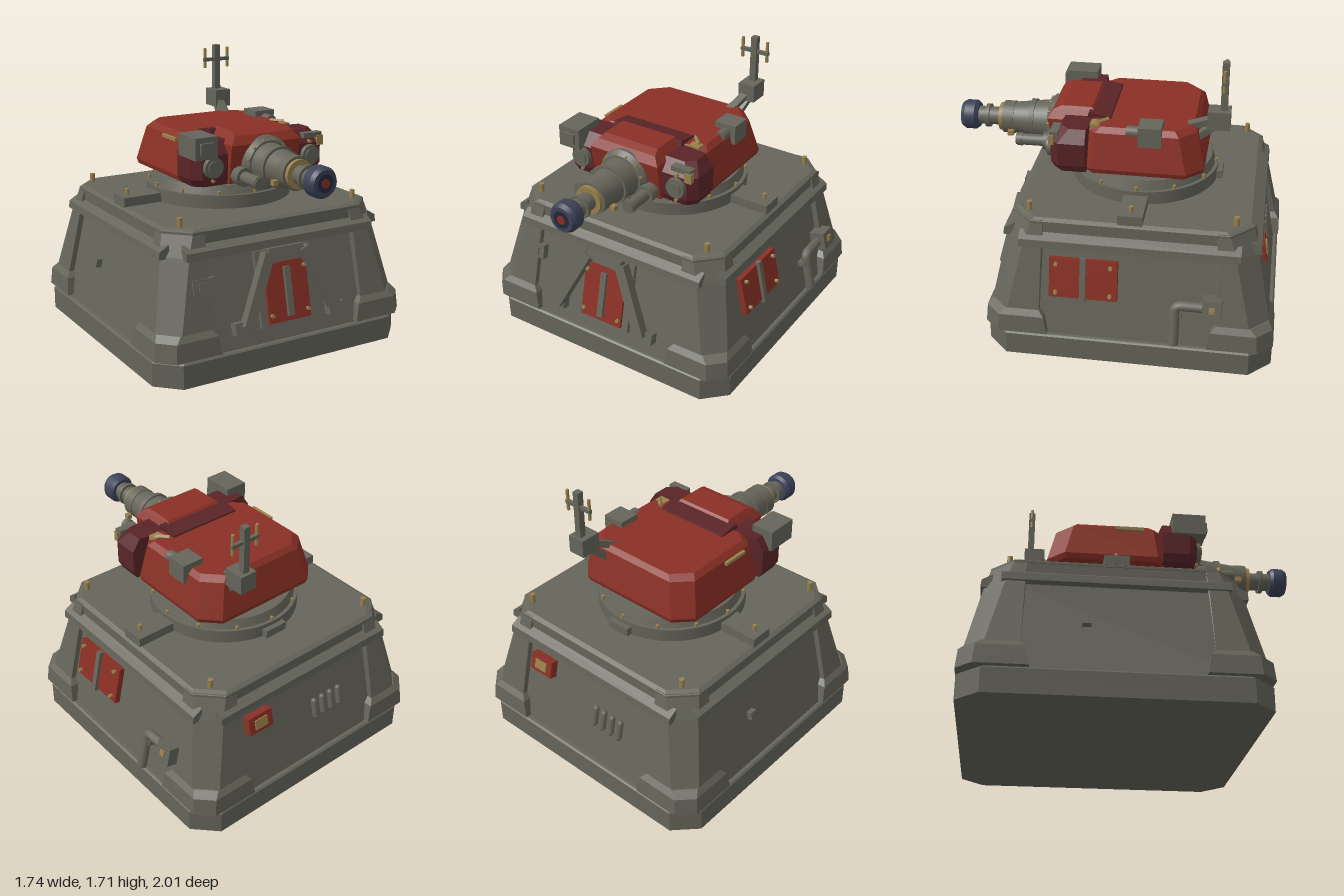
import * as THREE from 'three';
import { ConvexGeometry } from 'three/addons/geometries/ConvexGeometry.js';

const CZ = -0.15; // centre of the base along z
const AXIS = 1.15; // gun height
const V = (x, y, z) => new THREE.Vector3(x, y, z);
const paint = (name, color) => Object.assign(new THREE.MeshStandardMaterial({ color }), { name });

export function createModel() {
  const grey = paint('hull grey', 0x65655a), red = paint('panel red', 0x8a3025);
  const darkRed = paint('shadow red', 0x592427), gold = paint('brass', 0x98804c);
  const blue = paint('muzzle blue', 0x3c4258), dark = paint('bore dark', 0x26283a);
  const model = new THREE.Group();
  model.name = 'turret emplacement';

  const add = (name, geo, mat, x = 0, y = 0, z = 0, parent = model) => {
    const m = new THREE.Mesh(geo, mat);
    m.name = name;
    m.position.set(x, y, z);
    parent.add(m);
    return m;
  };
  const box = (name, mat, w, h, d, x, y, z, parent) => add(name, new THREE.BoxGeometry(w, h, d), mat, x, y, z, parent);
  const post = (name, mat, r, h, x, y, z, parent, r2 = r, seg = 12) =>
    add(name, new THREE.CylinderGeometry(r2, r, h, seg), mat, x, y, z, parent);
  // cylinder along z from z0 to z1
  const zCyl = (name, mat, r0, r1, z0, z1, x, y, parent, seg = 32) =>
    add(name, new THREE.CylinderGeometry(r1, r0, z1 - z0, seg).rotateX(Math.PI / 2), mat, x, y, (z0 + z1) / 2, parent);
  const bar = (name, mat, a, b, w, d, parent) => {
    const m = box(name, mat, w, a.distanceTo(b), d, 0, 0, 0, parent);
    m.position.copy(a).lerp(b, 0.5);
    m.quaternion.setFromUnitVectors(V(0, 1, 0), b.clone().sub(a).normalize());
    return m;
  };
  const hull = (name, mat, pts, parent) => add(name, new ConvexGeometry(pts), mat, 0, 0, 0, parent);
  // rectangle ring with cut corners
  const ring = (y, hx, z0, z1, cBack, cFront = cBack) => [-1, 1].flatMap(s => [
    V(s * hx, y, z0 + cBack), V(s * (hx - cBack), y, z0), V(s * hx, y, z1 - cFront), V(s * (hx - cFront), y, z1)]);
  const square = (y, h, c) => ring(y, h, CZ - h, CZ + h, c);

  // Base block and deck
  hull('base slab', grey, [...square(0, 0.85, 0.13), ...square(0.14, 0.85, 0.13), ...square(0.15, 0.84, 0.13)]);
  hull('base wall', grey, [...square(0.15, 0.82, 0.12), ...square(0.7, 0.7, 0.12)]);
  hull('upper wall', grey, [...square(0.69, 0.7, 0.12), ...square(0.84, 0.7, 0.12)]);
  hull('deck', grey, [...square(0.83, 0.705, 0.13), ...square(0.845, 0.705, 0.13), ...square(0.86, 0.68, 0.13)]);

  // Corner buttresses with flared feet
  const corner = (y, h, inner, c) => [[inner, inner], [h, inner], [h, h - c], [h - c, h], [inner, h]].map(([x, z]) => V(x, y, z));
  const column = [...corner(0.28, 0.825, 0.52, 0.11), ...corner(0.71, 0.735, 0.51, 0.12), ...corner(0.85, 0.7, 0.5, 0.13)];
  const foot = [...corner(0.16, 0.855, 0.47, 0.09), ...corner(0.27, 0.845, 0.49, 0.09), ...corner(0.305, 0.82, 0.52, 0.1)];
  for (const sx of [-1, 1]) for (const sz of [-1, 1]) {
    const put = p => V(sx * p.x, p.y, sz * p.z + CZ);
    hull('corner buttress', grey, column.map(put));
    hull('buttress foot', grey, foot.map(put));
    post('deck peg', gold, 0.016, 0.06, sx * 0.6, 0.885, sz * 0.6 + CZ);
  }

  // Wall groups: local x along the wall, y up the slope, z outward
  const SLOPE = Math.atan(0.12 / 0.55);
  const walls = ['front', 'left', 'back', 'right'].map((n, i) => {
    const turn = new THREE.Group(), wall = new THREE.Group();
    turn.name = n + ' side';
    wall.name = n + ' wall fittings';
    turn.position.z = CZ;
    turn.rotation.y = i * Math.PI / 2;
    wall.position.set(0, 0.15, 0.82);
    wall.rotation.x = -SLOPE;
    turn.add(wall);
    model.add(turn);
    // Overhanging strip under the deck
    hull('eave strip', grey, [-0.64, 0.64].flatMap(x => [V(x, 0.7, 0.69), V(x, 0.7, 0.755), V(x, 0.745, 0.75), V(x, 0.78, 0.69)]), turn);
    return wall;
  });
  const [front, left, back, right] = walls;
  const up = y => (y - 0.15) / Math.cos(SLOPE);
  const bolt = (x, y, z, parent) => zCyl('bolt', gold, 0.012, 0.012, z, z + 0.02, x, up(y), parent, 10);

  // Front door with braces
  box('door frame', grey, 0.38, 0.45, 0.04, 0, up(0.455), 0.005, front);
  box('door', red, 0.29, 0.35, 0.03, 0, up(0.425), 0.025, front);
  box('door handle', grey, 0.04, 0.29, 0.03, 0, up(0.425), 0.045, front);
  box('door lintel', grey, 0.24, 0.05, 0.08, 0, up(0.66), 0.035, front);
  for (const s of [-1, 1]) {
    bar('door brace', grey, V(s * 0.12, up(0.66), 0.06), V(s * 0.31, up(0.27), 0.06), 0.065, 0.06, front);
    box('brace foot', grey, 0.11, 0.07, 0.06, s * 0.325, up(0.27), 0.025, front);
    for (const y of [0.3, 0.555]) bolt(s * 0.125, y, 0.035, front);
  }
  box('junction box', grey, 0.15, 0.09, 0.05, -0.54, up(0.54), 0.02, front);
  box('junction lid', grey, 0.08, 0.045, 0.03, -0.54, up(0.54), 0.04, front);

  // Left side hatch and pipe
  box('side hatch', red, 0.4, 0.24, 0.05, -0.26, up(0.51), 0.01, left);
  box('hatch bar', grey, 0.035, 0.27, 0.03, -0.26, up(0.51), 0.04, left);
  for (const x of [-0.42, -0.1]) for (const y of [0.425, 0.595]) bolt(x, y, 0.035, left);
  box('pipe box', grey, 0.11, 0.115, 0.11, 0.495, up(0.415), 0.045, left);
  box('pipe button', gold, 0.035, 0.035, 0.02, 0.495, up(0.42), 0.1, left);
  const pipe = new THREE.CurvePath();
  pipe.add(new THREE.LineCurve3(V(0.46, up(0.41), 0.045), V(0.32, up(0.41), 0.045)));
  pipe.add(new THREE.QuadraticBezierCurve3(V(0.32, up(0.41), 0.045), V(0.28, up(0.41), 0.045), V(0.28, up(0.37), 0.045)));
  pipe.add(new THREE.LineCurve3(V(0.28, up(0.37), 0.045), V(0.28, up(0.17), 0.045)));
  add('pipe', new THREE.TubeGeometry(pipe, 30, 0.03, 12), grey, 0, 0, 0, left);
  box('pipe bracket', grey, 0.08, 0.03, 0.06, 0.28, up(0.35), 0.02, left);

  // Back control box and vents, right stud
  box('control box', red, 0.17, 0.11, 0.06, -0.37, up(0.58), 0.02, back);
  box('control plate', gold, 0.09, 0.06, 0.009, -0.37, up(0.58), 0.053, back);
  for (let i = 0; i < 4; i++)
    add('vent', new THREE.CapsuleGeometry(0.019, 0.1, 4, 10), grey, 0.07 + i * 0.065, up(0.44), 0.01, back);
  box('side stud', grey, 0.05, 0.05, 0.04, -0.17, up(0.455), 0.015, right);

  // Turret ring
  const R = 0.45;
  post('ring flange', grey, R, 0.08, 0, 0.9, CZ, model, R, 48);
  post('ring collar', grey, 0.43, 0.06, 0, 0.965, CZ, model, 0.41, 48);
  post('turret neck', darkRed, 0.34, 0.06, 0, 1.015, CZ, model, 0.34, 40);
  for (let i = 0; i < 12; i++) {
    const a = i * Math.PI / 6;
    post('ring bolt', gold, 0.01, 0.025, 0.435 * Math.sin(a), 0.95, CZ + 0.435 * Math.cos(a));
  }
  for (const s of [-1, 1]) {
    box('deck block', grey, 0.27, 0.06, 0.145, s * 0.555, 0.885, CZ);
    post('block peg', gold, 0.012, 0.045, s * 0.635, 0.93, CZ);
  }
  box('ring latch', grey, 0.15, 0.05, 0.06, 0, 0.89, -0.6);

  // Turret shell
  hull('turret shell', red, [...ring(1.03, 0.42, -0.525, 0.17, 0.1, 0.06), ...ring(1.06, 0.43, -0.535, 0.18, 0.1, 0.06),
    ...ring(1.27, 0.38, -0.485, 0.16, 0.1, 0.06), ...ring(1.3, 0.35, -0.46, 0.13, 0.1, 0.06)]);
  hull('hood', red, [[1.04, 0.23, 0.1, 0.37], [1.27, 0.235, 0.1, 0.41], [1.32, 0.2, 0.13, 0.38], [1.34, 0.185, 0.15, 0.33]]
    .flatMap(([y, x, a, b]) => [V(x, y, a), V(-x, y, a), V(x, y, b), V(-x, y, b)]));
  hull('hood back panel', darkRed, [-0.24, 0.24].flatMap(x => [V(x, 1.28, 0.02), V(x, 1.31, 0.03), V(x, 1.33, 0.16), V(x, 1.26, 0.18)]));
  for (const s of [-1, 1]) {
    hull('cheek', darkRed, [[1.035, 0.43, 0.34], [1.08, 0.45, 0.36], [1.22, 0.45, 0.36], [1.295, 0.4, 0.3]]
      .flatMap(([y, x, z]) => [V(s * 0.2, y, 0.13), V(s * x, y, 0.15), V(s * x, y, z - 0.05), V(s * (x - 0.05), y, z), V(s * 0.2, y, z)]));
    zCyl('lamp', grey, 0.068, 0.06, 0.33, 0.385, s * 0.335, AXIS);
    zCyl('lamp lens', grey, 0.042, 0.042, 0.38, 0.395, s * 0.335, AXIS);
    for (const dy of [-0.08, 0.08]) zCyl('lamp bolt', gold, 0.01, 0.01, 0.34, 0.375, s * 0.335, AXIS + dy, model, 10);
    zCyl('side tube', grey, 0.055, 0.055, 0.38, 0.45, s * 0.172, 1.09);
    zCyl('side tube sleeve', grey, 0.035, 0.035, 0.44, 0.62, s * 0.172, 1.09);
    zCyl('side tube cap', grey, 0.04, 0.04, 0.58, 0.61, s * 0.172, 1.09);
  }

  // Gun, as [name, material, rear radius, front radius, rear z, front z]
  [['gun collar', grey, 0.16, 0.16, 0.34, 0.41], ['gun collar lip', grey, 0.16, 0.135, 0.41, 0.44],
    ['gun sleeve', grey, 0.125, 0.095, 0.43, 0.66], ['sleeve flange', grey, 0.1, 0.1, 0.66, 0.73],
    ['sleeve band', grey, 0.122, 0.122, 0.53, 0.56], ['brass ring', gold, 0.085, 0.085, 0.73, 0.755],
    ['barrel', grey, 0.055, 0.055, 0.73, 0.92], ['barrel band', grey, 0.072, 0.072, 0.82, 0.845],
    ['muzzle rear', blue, 0.075, 0.09, 0.89, 0.91], ['muzzle', blue, 0.09, 0.09, 0.91, 0.97], ['muzzle front', blue, 0.09, 0.075, 0.97, 0.994],
    ['bore', dark, 0.052, 0.052, 0.99, 0.997], ['bore core', red, 0.026, 0.026, 0.99, 1]]
    .forEach(([n, m, r0, r1, a, b]) => zCyl(n, m, r0, r1, a, b, 0, AXIS));
  for (let i = 0; i < 12; i++) {
    const a = (i + 0.5) * Math.PI / 6;
    zCyl('collar bolt', gold, 0.008, 0.008, 0.42, 0.44, 0.14 * Math.sin(a), AXIS + 0.14 * Math.cos(a), model, 8);
  }
  for (const s of [-1, 1]) box('sleeve clip', gold, 0.03, 0.03, 0.035, s * 0.115, 1.1, 0.67);

  // Sensor boxes and brass fittings on the shell
  box('sensor box', grey, 0.145, 0.13, 0.2, -0.398, 1.275, 0.305);
  box('sensor face', grey, 0.085, 0.065, 0.02, -0.398, 1.275, 0.41);
  box('periscope', grey, 0.14, 0.12, 0.135, 0.345, 1.275, -0.22);
  zCyl('periscope tube', grey, 0.035, 0.035, -0.16, -0.08, 0.35, 1.28);
  box('side handle', gold, 0.02, 0.02, 0.17, -0.395, 1.26, -0.045);
  box('brass catch', gold, 0.07, 0.04, 0.055, 0.305, 1.285, 0.11);
  bar('brass lever', gold, V(0.26, 1.31, 0.04), V(0.32, 1.31, 0.1), 0.018, 0.018);
  box('lamp bracket', grey, 0.13, 0.03, 0.05, 0.36, 1.265, 0.335);
  box('lamp clip', gold, 0.045, 0.06, 0.03, 0.41, 1.23, 0.35);

  // Aerial on a rear arm
  bar('aerial arm', grey, V(0.2, 1.25, -0.36), V(0.255, 1.35, -0.58), 0.045, 0.04);
  bar('aerial stay', grey, V(0.22, 1.2, -0.46), V(0.26, 1.33, -0.6), 0.05, 0.04);
  box('aerial base', grey, 0.11, 0.11, 0.13, 0.265, 1.365, -0.605);
  box('aerial mast', grey, 0.04, 0.3, 0.04, 0.265, 1.56, -0.63);
  box('aerial crossbar', grey, 0.19, 0.022, 0.022, 0.265, 1.615, -0.63);
  for (const x of [0.18, 0.35]) post('aerial rod', gold, 0.01, 0.13, x, 1.625, -0.63);

  return model;
}
